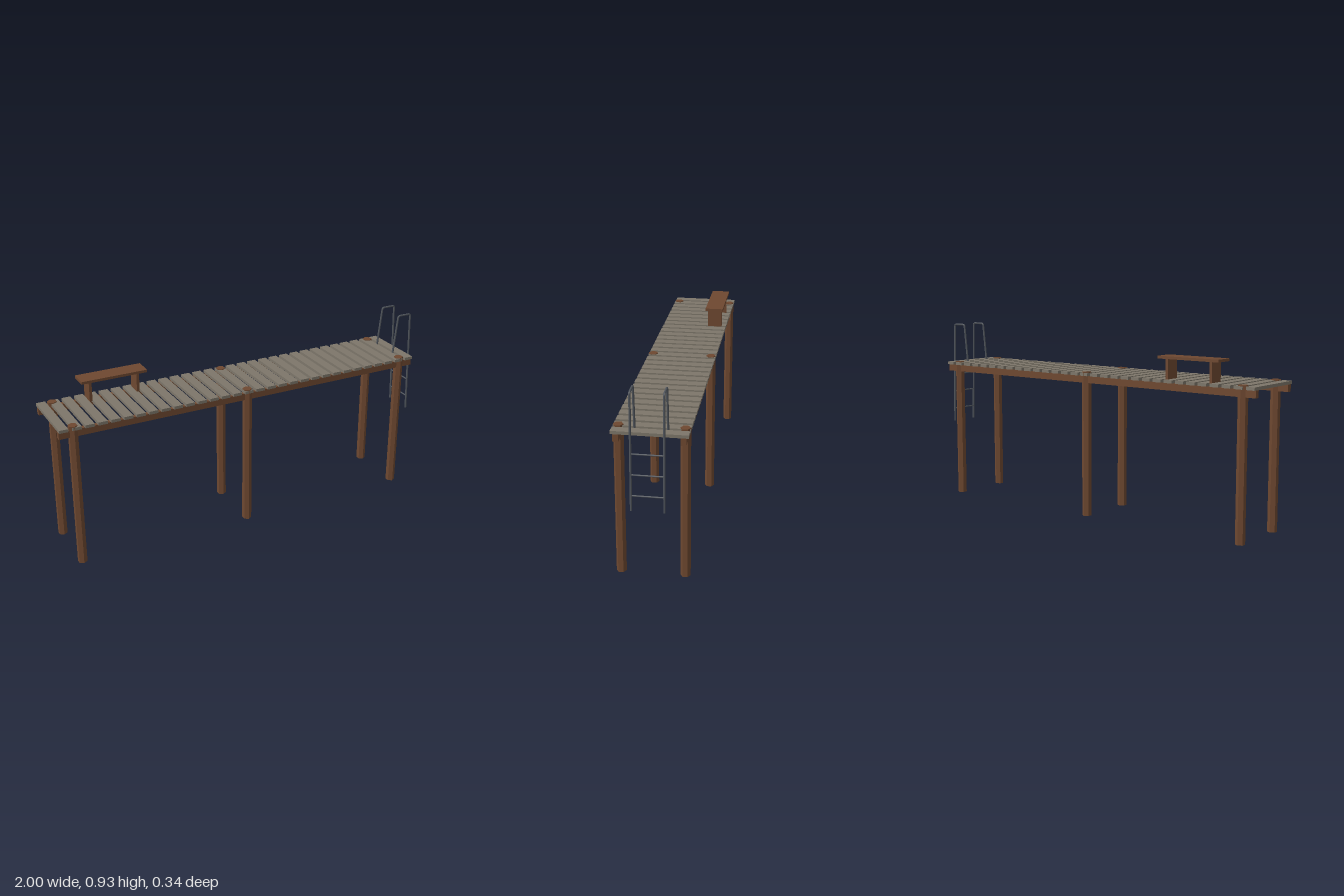
import * as THREE from 'three';

const wood = new THREE.MeshStandardMaterial({ name: 'brown wood', color: 0x6e4830, flatShading: true });
const deck = new THREE.MeshStandardMaterial({ name: 'weathered planks', color: 0x7d766a, flatShading: true });
const metal = new THREE.MeshStandardMaterial({ name: 'dark metal', color: 0x50555c });

export function createModel() {
  const model = new THREE.Group();
  model.name = 'pier';

  const add = (name, geometry, material, x, y, z, parent = model) => {
    const mesh = new THREE.Mesh(geometry, material);
    mesh.name = name;
    mesh.position.set(x, y, z);
    parent.add(mesh);
    return mesh;
  };

  // Deck planks
  const plank = new THREE.BoxGeometry(0.045, 0.015, 0.34);
  const planks = 31;
  for (let i = 0; i < planks; i++) {
    add('plank', plank, deck, -0.9775 + (i * 1.895) / (planks - 1), 0.7185, 0);
  }

  // Long beams and six-sided posts on both sides
  const beam = new THREE.BoxGeometry(1.94, 0.035, 0.025);
  const post = new THREE.CylinderGeometry(0.0235, 0.0235, 0.73, 6);
  for (const z of [-0.147, 0.147]) {
    add('beam', beam, wood, -0.03, 0.6935, z);
    for (const x of [-0.928, -0.03, 0.868]) add('post', post, wood, x, 0.365, z);
  }

  // Bench
  const bench = new THREE.Group();
  bench.name = 'bench';
  model.add(bench);
  add('benchSeat', new THREE.BoxGeometry(0.335, 0.013, 0.093), wood, -0.635, 0.829, -0.11, bench);
  for (const x of [-0.757, -0.514]) {
    add('benchLeg', new THREE.BoxGeometry(0.014, 0.1, 0.075), wood, x, 0.774, -0.11, bench);
  }

  // Ladder: two bent handrails joined by rungs
  const ladder = new THREE.Group();
  ladder.name = 'ladder';
  model.add(ladder);
  const r = 0.0052;
  const v = (x, y) => new THREE.Vector3(x, y, 0);
  const foot = v(0.882, 0.715), a = v(0.905, 0.925), b = v(0.979, 0.925), end = v(0.9945, 0.38);
  const toward = (p, q) => p.clone().add(q.clone().sub(p).setLength(0.01));
  const path = new THREE.CurvePath();
  path.add(new THREE.LineCurve3(foot, toward(a, foot)));
  path.add(new THREE.QuadraticBezierCurve3(toward(a, foot), a, toward(a, b)));
  path.add(new THREE.LineCurve3(toward(a, b), toward(b, a)));
  path.add(new THREE.QuadraticBezierCurve3(toward(b, a), b, toward(b, end)));
  path.add(new THREE.LineCurve3(toward(b, end), end));
  const rail = new THREE.TubeGeometry(path, 120, r, 8);
  const cap = new THREE.CircleGeometry(r, 8).rotateX(Math.PI / 2);
  for (const z of [-0.073, 0.073]) {
    add('ladderRail', rail, metal, 0, 0, z, ladder);
    add('railEnd', cap, metal, end.x, end.y, z, ladder);
  }
  const rung = new THREE.CylinderGeometry(0.0038, 0.0038, 0.146, 8).rotateX(Math.PI / 2);
  for (const y of [0.451, 0.549, 0.646]) {
    const t = (b.y - y) / (b.y - end.y);
    add('ladderRung', rung, metal, THREE.MathUtils.lerp(b.x, end.x, t), y, 0, ladder);
  }

  return model;
}
